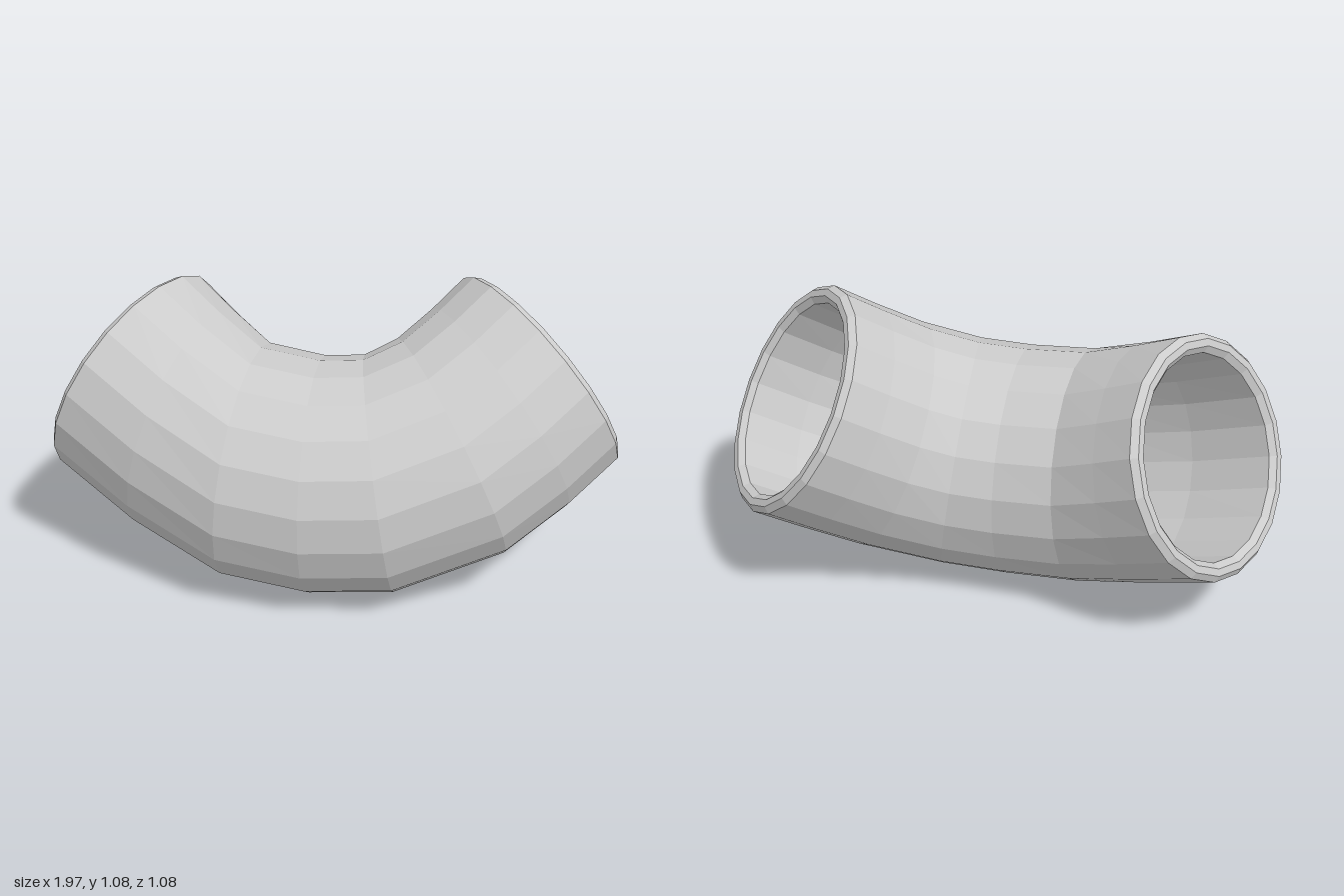
import * as THREE from 'three';

const SIDES = 20, RADIUS = 0.417, WALL = 0.065, BEVEL = 0.02;

// Centre line in the tilted bend plane: [across, up the plane, heading in degrees]
const STATIONS = [
  [-0.77, 0.55, -33], [-0.54, 0.385, -20], [-0.30, 0.245, -7], [-0.05, 0.21, 0],
  [0.165, 0.23, 11.5], [0.405, 0.35, 32], [0.56, 0.50, 40], [0.70, 0.66, 45],
];

// Axes of the bend plane, which leans back by 45 degrees
const S = Math.SQRT1_2;
const ACROSS = new THREE.Vector3(1, 0, 0);
const UP = new THREE.Vector3(0, S, -S);
const NORMAL = new THREE.Vector3(0, S, S);
const ORIGIN = new THREE.Vector3(0, 0.27, 0.27);

// One ring of points around a station, shifted along its heading
function ring([x, v, degrees], radius, shift = 0) {
  const t = THREE.MathUtils.degToRad(degrees);
  const heading = ACROSS.clone().multiplyScalar(Math.cos(t)).addScaledVector(UP, Math.sin(t));
  const radial = ACROSS.clone().multiplyScalar(-Math.sin(t)).addScaledVector(UP, Math.cos(t));
  const centre = ORIGIN.clone().addScaledVector(ACROSS, x).addScaledVector(UP, v)
    .addScaledVector(heading, shift);
  return Array.from({ length: SIDES }, (_, j) => {
    const a = (j / SIDES) * Math.PI * 2;
    return centre.clone().addScaledVector(radial, radius * Math.cos(a))
      .addScaledVector(NORMAL, radius * Math.sin(a));
  });
}

// Joins a closed loop of rings into one skin
function skin(rings) {
  const positions = rings.flat().flatMap((p) => p.toArray());
  const index = [];
  rings.forEach((_, i) => {
    const a = i * SIDES, b = ((i + 1) % rings.length) * SIDES;
    for (let j = 0; j < SIDES; j++) {
      const k = (j + 1) % SIDES;
      index.push(a + j, a + k, b + k, a + j, b + k, b + j);
    }
  });
  const geometry = new THREE.BufferGeometry();
  geometry.setAttribute('position', new THREE.Float32BufferAttribute(positions, 3));
  geometry.setIndex(index);
  geometry.computeVertexNormals();
  return geometry;
}

export function createModel() {
  const group = new THREE.Group();
  group.name = 'pipeElbow';

  const first = STATIONS[0], last = STATIONS[STATIONS.length - 1];
  const middle = STATIONS.slice(1, -1);
  const inner = RADIUS - WALL, lipOut = RADIUS - BEVEL, lipIn = inner + BEVEL;

  const rings = [
    // Outer wall
    ring(first, RADIUS, BEVEL),
    ...middle.map((s) => ring(s, RADIUS)),
    ring(last, RADIUS, -BEVEL),
    // Bevelled rim of the left end
    ring(last, lipOut), ring(last, lipIn),
    // Inner wall, running back
    ring(last, inner, -BEVEL),
    ...middle.map((s) => ring(s, inner)).reverse(),
    ring(first, inner, BEVEL),
    // Bevelled rim of the right end
    ring(first, lipIn), ring(first, lipOut),
  ];

  const material = new THREE.MeshStandardMaterial({ color: 0xcccccc, flatShading: true });
  const pipe = new THREE.Mesh(skin(rings), material);
  pipe.name = 'bentPipe';
  group.add(pipe);
  return group;
}
